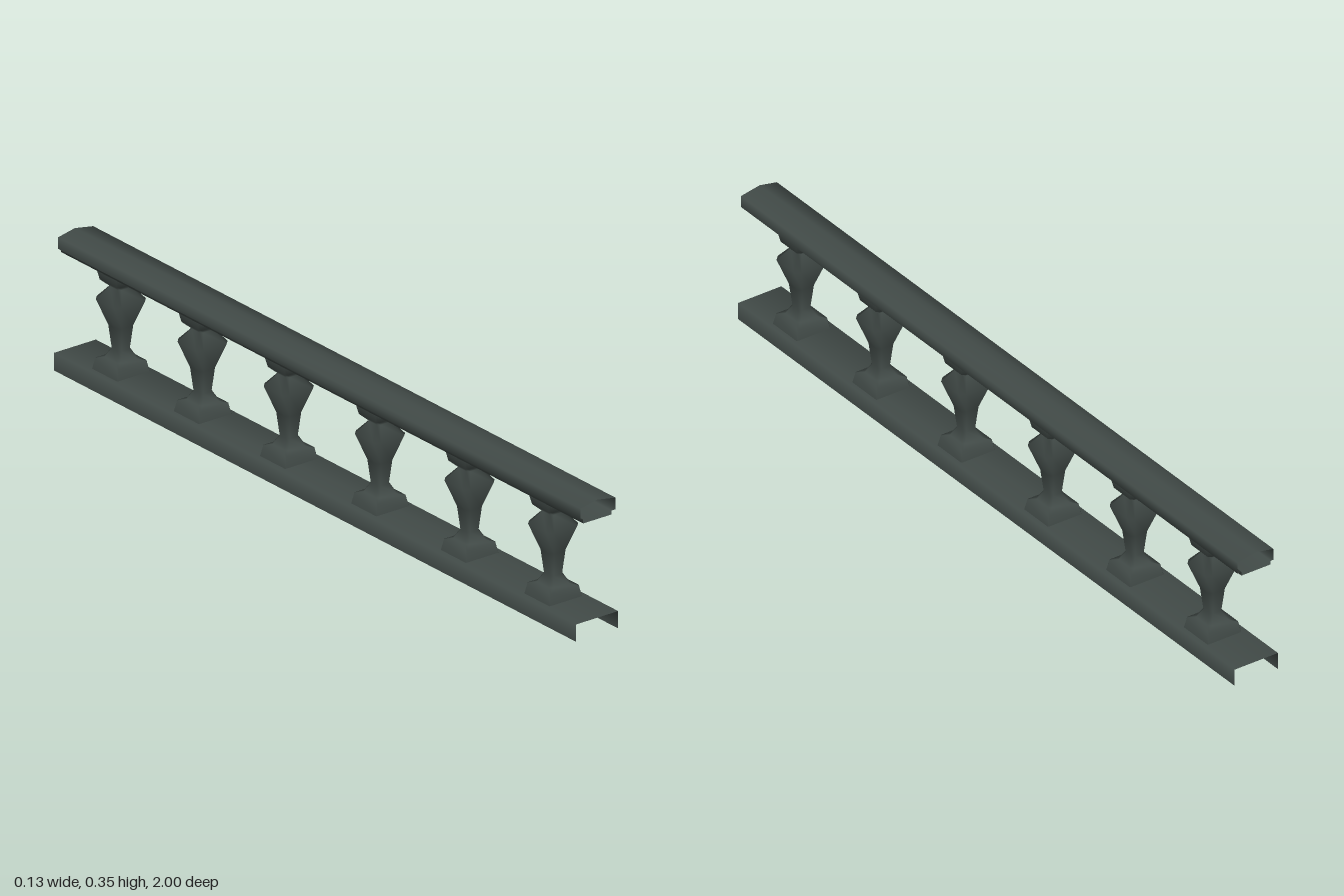
import * as THREE from 'three';

// Skin a list of cross-sections (each a list of [x, y, z]) with smooth normals.
function loft(rings, closed) {
  const n = rings[0].length;
  const index = [];
  for (let i = 0; i < rings.length - 1; i++) {
    for (let j = 0; j < (closed ? n : n - 1); j++) {
      const k = (j + 1) % n;
      const a = i * n + j, b = i * n + k, c = a + n, d = b + n;
      index.push(a, b, c, b, d, c);
    }
  }
  const geometry = new THREE.BufferGeometry();
  geometry.setAttribute('position', new THREE.Float32BufferAttribute(rings.flat(2), 3));
  geometry.setIndex(index);
  geometry.computeVertexNormals();
  return geometry;
}

// Run an xy profile along the full length of the railing.
const alongZ = (profile, closed) =>
  loft([-1, 1].map((z) => profile.map(([x, y]) => [x, y, z])), closed);

// Square ring with cut corners, counter-clockwise from above.
function squareRing(y, h, cut) {
  const s = h * (1 - cut);
  return [[h, s], [h, -s], [s, -h], [-s, -h], [-h, -s], [-h, s], [-s, h], [s, h]]
    .map(([x, z]) => [x, y, z]);
}

export function createModel() {
  const group = new THREE.Group();
  const stone = new THREE.MeshStandardMaterial({ color: 0x414a47, side: THREE.DoubleSide });
  stone.name = 'darkStone';

  const add = (name, geometry) => {
    const mesh = new THREE.Mesh(geometry, stone);
    mesh.name = name;
    group.add(mesh);
    return mesh;
  };

  // Base: channel open underneath and at both ends
  add('baseRail', alongZ([[0.063, 0], [0.063, 0.045], [-0.063, 0.045], [-0.063, 0]], false));

  // Handrail: hollow tube with a low ridge and a stepped underside
  add('handrail', alongZ([
    [0.055, 0.31], [0.055, 0.34], [0, 0.35], [-0.05, 0.34], [-0.05, 0.31],
    [-0.042, 0.31], [-0.042, 0.3], [0.043, 0.3], [0.043, 0.31],
  ], true));

  // Balusters: height, half width, corner cut
  const baluster = loft([
    [0.045, 0.049, 0.03], [0.073, 0.044, 0.05], [0.079, 0.03, 0.2],
    [0.102, 0.018, 0.35], [0.163, 0.025, 0.35], [0.229, 0.048, 0.28],
    [0.262, 0.021, 0.3], [0.278, 0.038, 0.15], [0.3, 0.042, 0.1],
  ].map((r) => squareRing(...r)), true);
  [0.83, 0.51, 0.167, -0.182, -0.512, -0.825].forEach((z, i) => {
    add('baluster' + (i + 1), baluster).position.set(0.001, 0, z);
  });

  return group;
}
